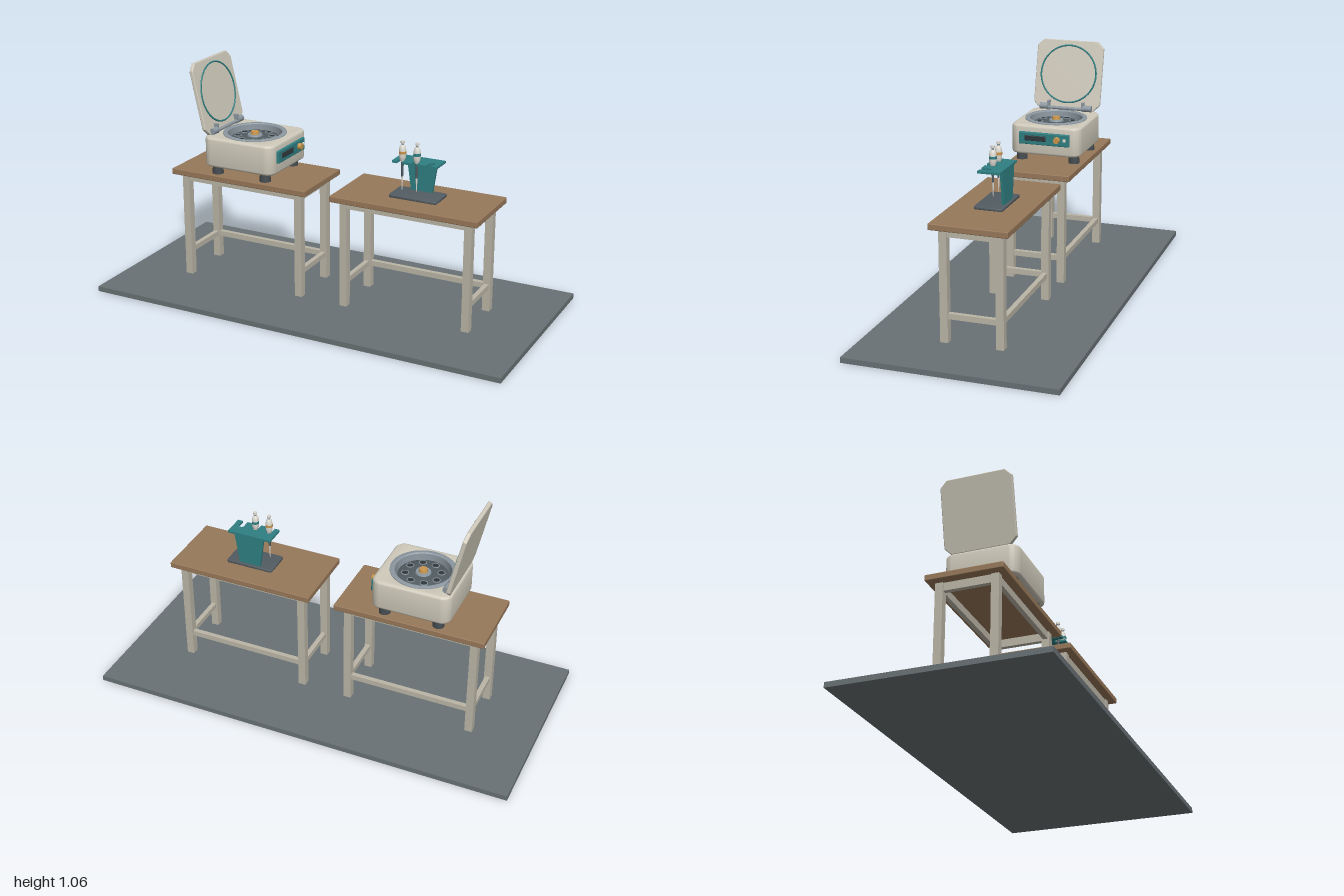
import * as THREE from 'three';
import { RoundedBoxGeometry } from 'three/addons/geometries/RoundedBoxGeometry.js';
import { toCreasedNormals } from 'three/addons/utils/BufferGeometryUtils.js';

const mat = (color, side = THREE.FrontSide) => {
  const m = new THREE.MeshStandardMaterial({ side });
  m.color.set(color);
  return m;
};
const M = {
  floor: mat(0x687174), wood: mat(0x977859), frame: mat(0xbab5a6), shell: mat(0xcfcabb),
  teal: mat(0x2f7f82), dark: mat(0x525c62), rubber: mat(0x454c50), steel: mat(0x8d98a1, THREE.DoubleSide),
  black: mat(0x30383c), amber: mat(0xc9964c), white: mat(0xdedbd2)
};

function add(parent, name, geometry, material, x = 0, y = 0, z = 0) {
  const mesh = new THREE.Mesh(geometry, material);
  mesh.name = name;
  mesh.position.set(x, y, z);
  parent.add(mesh);
  return mesh;
}
function group(parent, name, x = 0, y = 0, z = 0) {
  const g = new THREE.Group();
  g.name = name;
  g.position.set(x, y, z);
  parent.add(g);
  return g;
}
const box = (w, h, d) => new THREE.BoxGeometry(w, h, d);
const cyl = (r1, r2, h, n = 24) => new THREE.CylinderGeometry(r1, r2, h, n);
const lathe = (pts, n = 48) =>
  toCreasedNormals(new THREE.LatheGeometry(pts.map(p => new THREE.Vector2(...p)), n), 0.6);

// Rectangle with rounded corners, centred on the origin
function roundedRect(w, h, r) {
  const s = new THREE.Shape();
  [[1, 1, 0], [-1, 1, 1], [-1, -1, 2], [1, -1, 3]].forEach(([a, b, q]) =>
    s.absarc(a * (w / 2 - r), b * (h / 2 - r), r, q * Math.PI / 2, (q + 1) * Math.PI / 2, false));
  s.closePath();
  return s;
}
// Extrude a plan shape (x, -z) upwards, standing on y = 0
function slab(shape, height, bevel = 0) {
  const g = new THREE.ExtrudeGeometry(shape, {
    depth: height - 2 * bevel, bevelEnabled: bevel > 0, bevelThickness: bevel,
    bevelSize: bevel, bevelOffset: -bevel, bevelSegments: 3, curveSegments: 12
  });
  g.rotateX(-Math.PI / 2).translate(0, bevel, 0);
  return toCreasedNormals(g, 0.6);
}

function buildTable(parent, name, x) {
  const t = group(parent, name, x);
  add(t, 'tableTop', new RoundedBoxGeometry(0.7, 0.028, 0.348, 2, 0.004), M.wood, 0, 0.541, 0);
  for (const sx of [-1, 1]) {
    for (const sz of [-1, 1])
      add(t, 'tableLeg', box(0.035, 0.503, 0.035), M.frame, sx * 0.296, 0.2755, sz * 0.124);
    add(t, 'sideApron', box(0.022, 0.037, 0.213), M.frame, sx * 0.296, 0.5085, 0);
    add(t, 'sideStretcher', box(0.022, 0.025, 0.213), M.frame, sx * 0.296, 0.142, 0);
  }
  for (const sz of [-1, 1])
    add(t, 'longApron', box(0.557, 0.034, 0.022), M.frame, 0, 0.51, sz * 0.124);
  add(t, 'rearStretcher', box(0.557, 0.025, 0.022), M.frame, 0, 0.142, -0.124);
}

function buildCentrifuge(parent) {
  const c = group(parent, 'centrifuge', -0.412, 0.555, 0);
  // Feet
  for (const sx of [-1, 1]) for (const sz of [-1, 1])
    add(c, 'foot', cyl(0.024, 0.026, 0.037), M.rubber, sx * 0.125, 0.0185, sz * 0.128);

  // Housing with a round opening in the top
  const plan = roundedRect(0.364, 0.338, 0.045);
  plan.holes.push(new THREE.Path().absarc(0, 0, 0.13, 0, Math.PI * 2, true));
  add(c, 'housing', slab(plan, 0.14, 0.012), M.shell, 0, 0.037, 0);
  add(c, 'housingBottom', cyl(0.15, 0.15, 0.008, 48), M.shell, 0, 0.043, 0);

  // Bowl with its rim, and the rotor inside
  add(c, 'bowl', lathe([[0.147, 0.176], [0.147, 0.18], [0.143, 0.182], [0.128, 0.182], [0.124, 0.178],
    [0.12, 0.11], [0.1, 0.1], [0, 0.1]]), M.steel);
  add(c, 'rotor', lathe([[0, 0.11], [0.09, 0.11], [0.112, 0.145], [0.112, 0.153], [0.104, 0.157],
    [0.05, 0.163], [0, 0.163]]), M.dark);
  for (let i = 0; i < 8; i++) {
    const a = (i + 0.5) * Math.PI / 4, x = 0.079 * Math.cos(a), z = 0.079 * Math.sin(a);
    add(c, 'tubeWell', cyl(0.016, 0.016, 0.012), M.black, x, 0.156, z);
    add(c, 'wellRim', new THREE.TorusGeometry(0.016, 0.0025, 6, 24).rotateX(Math.PI / 2), M.steel, x, 0.161, z);
  }
  add(c, 'rotorHub', cyl(0.033, 0.036, 0.008), M.steel, 0, 0.166, 0);
  add(c, 'rotorKnob', cyl(0.018, 0.021, 0.016), M.amber, 0, 0.175, 0);

  // Control panel
  const p = group(c, 'controlPanel', 0.182, 0.118, 0);
  add(p, 'panelPlate', new RoundedBoxGeometry(0.02, 0.058, 0.245, 2, 0.004), M.teal, 0.002, 0, -0.001);
  add(p, 'display', new RoundedBoxGeometry(0.012, 0.025, 0.103, 2, 0.003), M.black, 0.01, 0.002, 0.041);
  add(p, 'dial', cyl(0.014, 0.016, 0.022).rotateZ(-Math.PI / 2), M.amber, 0.018, 0.002, -0.065);
  add(p, 'button', new RoundedBoxGeometry(0.01, 0.015, 0.015, 2, 0.003), M.white, 0.013, 0.002, -0.101);

  // Hinge
  add(c, 'hingeRod', cyl(0.008, 0.008, 0.25, 16).rotateX(Math.PI / 2), M.steel, -0.15, 0.188, 0);
  for (const s of [-1, 1]) {
    add(c, 'hingeBarrel', cyl(0.015, 0.015, 0.042).rotateX(Math.PI / 2), M.steel, -0.15, 0.193, s * 0.109);
    add(c, 'hingeLug', box(0.024, 0.045, 0.012), M.steel, -0.156, 0.198, s * 0.086);
  }

  // Open lid with clipped corners and a seal ring
  const lid = group(c, 'lid', -0.156, 0.18, 0);
  lid.rotation.z = 0.22;
  const w = 0.166, h = 0.336, k = 0.031;
  const outline = new THREE.Shape([[-w + k, 0], [w - k, 0], [w, k], [w, h - k], [w - k, h],
    [-w + k, h], [-w, h - k], [-w, k]].map(q => new THREE.Vector2(...q)));
  const panel = new THREE.ExtrudeGeometry(outline, {
    depth: 0.012, bevelThickness: 0.003, bevelSize: 0.003, bevelOffset: -0.003, bevelSegments: 1
  }).rotateY(Math.PI / 2);
  add(lid, 'lidPanel', toCreasedNormals(panel, 0.5), M.shell, -0.015, 0, 0);
  add(lid, 'lidSeal', new THREE.TorusGeometry(0.138, 0.004, 8, 64).rotateY(Math.PI / 2), M.teal, 0.001, 0.173, 0);
}

function buildPipette(parent, x, accent) {
  const p = group(parent, 'pipette', x, 0.555, 0.017);
  add(p, 'pipetteBody', lathe([[0, 0.158], [0.009, 0.158], [0.014, 0.172], [0.016, 0.185], [0.016, 0.21],
    [0.013, 0.226], [0.008, 0.234], [0, 0.234]], 20), M.white);
  add(p, 'pipetteShaft', cyl(0.0065, 0.0045, 0.07, 16), M.dark, 0, 0.125, 0);
  add(p, 'pipetteTip', cyl(0.0045, 0.0015, 0.064, 12), M.white, 0, 0.06, 0);
  add(p, 'plunger', cyl(0.006, 0.006, 0.012, 16), M.steel, 0, 0.238, 0);
  add(p, 'plungerCap', cyl(0.009, 0.009, 0.01, 16), M.white, 0, 0.247, 0);
  add(p, 'accentBand', cyl(0.0168, 0.0168, 0.012, 20), accent, 0, 0.2, 0);
}

function buildPipetteStand(parent) {
  const s = group(parent, 'pipetteStand', 0.411, 0.555, 0);
  add(s, 'standBase', slab(roundedRect(0.228, 0.13, 0.012), 0.012, 0.002), M.dark);

  // Tapered back plate
  const back = new THREE.Shape([[-0.051, 0.01], [0.051, 0.01], [0.073, 0.158], [-0.073, 0.158]]
    .map(q => new THREE.Vector2(...q)));
  add(s, 'backPlate', new THREE.ExtrudeGeometry(back, { depth: 0.013, bevelEnabled: false }), M.teal, 0, 0, -0.053);

  // Shelf with three slots open to the front (plan y is -z)
  const shelf = new THREE.Shape();
  const r = 0.0125, front = -0.048, end = -0.012;
  shelf.moveTo(-0.106, front);
  for (const x of [-0.069, 0, 0.069]) {
    shelf.lineTo(x - r, front);
    shelf.lineTo(x - r, end);
    shelf.absarc(x, end, r, Math.PI, 0, true);
    shelf.lineTo(x + r, front);
  }
  shelf.lineTo(0.106, front);
  shelf.lineTo(0.106, 0.053);
  shelf.lineTo(-0.106, 0.053);
  add(s, 'slottedShelf', slab(shelf, 0.01), M.teal, 0, 0.156, 0);
}

export function createModel() {
  const model = new THREE.Group();
  model.name = 'laboratoryBenches';
  add(model, 'floor', box(2, 0.024, 0.94), M.floor, 0, 0.012, 0);
  buildTable(model, 'centrifugeTable', -0.411);
  buildTable(model, 'pipetteTable', 0.411);
  buildCentrifuge(model);
  buildPipetteStand(model);
  buildPipette(model, 0.342, M.amber);
  buildPipette(model, 0.411, M.teal);
  return model;
}
